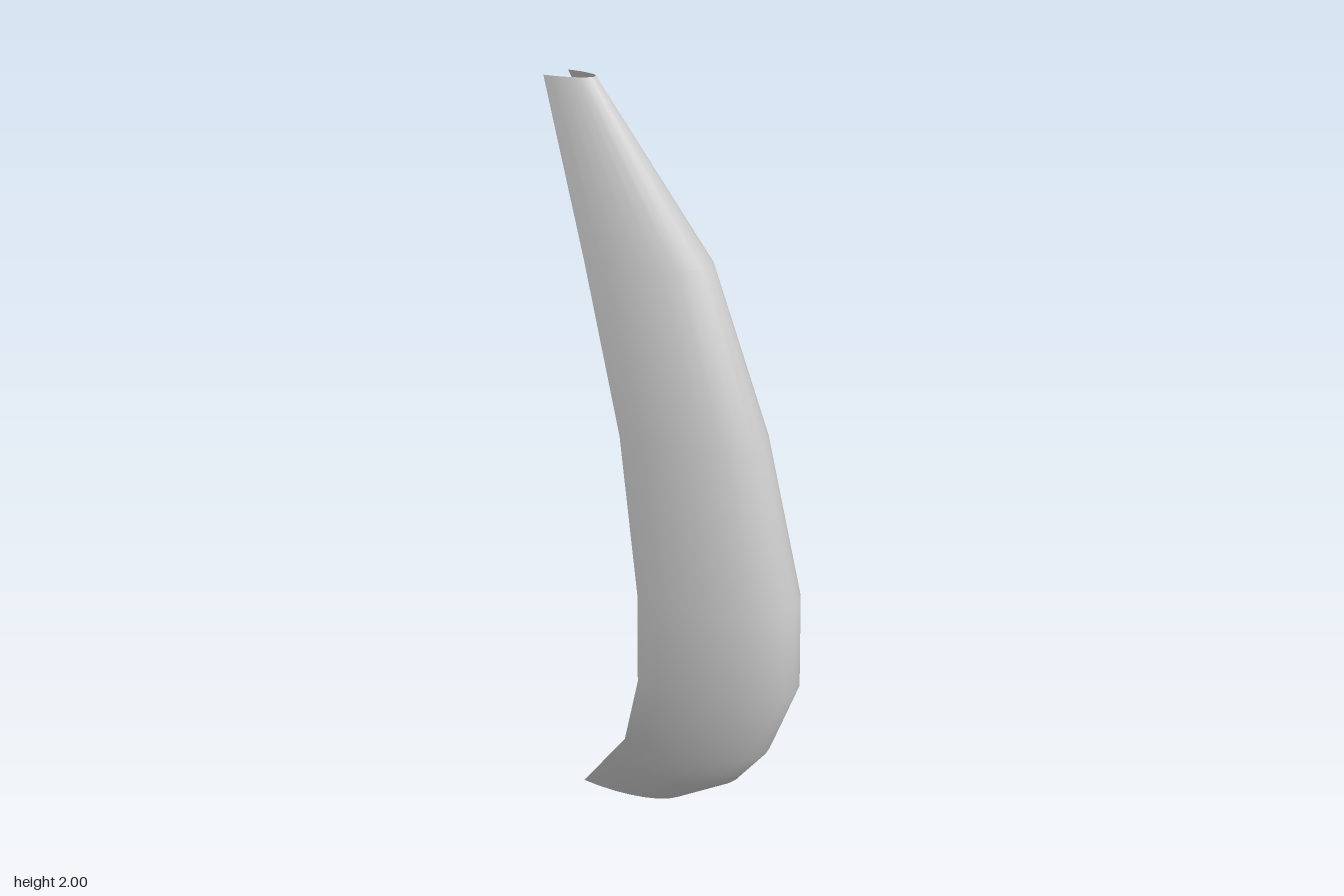
import * as THREE from 'three';

// Cross-sections from bottom to top: height, half width, z of the open back edge, z of the front ridge
const SECTIONS = [
  [0, 0.108, -0.257, 0.018],
  [0.12, 0.14, -0.16, 0.198],
  [0.24, 0.163, -0.064, 0.293],
  [0.46, 0.192, 0.005, 0.377],
  [0.71, 0.185, 0.002, 0.373],
  [1.14, 0.167, -0.063, 0.263],
  [1.57, 0.13, -0.195, 0.096],
  [2, 0.049, -0.377, -0.255],
];
const SEGMENTS = 16;

// Half-elliptical arcs joined into an open, curved shell
function shellGeometry() {
  const positions = [];
  const indices = [];
  const row = SEGMENTS + 1;
  SECTIONS.forEach(([y, halfWidth, back, front], i) => {
    for (let j = 0; j <= SEGMENTS; j++) {
      const a = (j / SEGMENTS - 0.5) * Math.PI;
      positions.push(halfWidth * Math.sin(a), y, back + (front - back) * Math.cos(a));
      if (i > 0 && j > 0) {
        const d = i * row + j, c = d - 1, b = d - row, e = b - 1;
        indices.push(e, b, d, e, d, c);
      }
    }
  });
  const geometry = new THREE.BufferGeometry();
  geometry.setAttribute('position', new THREE.Float32BufferAttribute(positions, 3));
  geometry.setIndex(indices);
  geometry.computeVertexNormals();
  return geometry;
}

export function createModel() {
  const group = new THREE.Group();
  group.name = 'curvedGuard';
  const material = new THREE.MeshStandardMaterial({ color: 0xcccccc, side: THREE.DoubleSide });
  const shell = new THREE.Mesh(shellGeometry(), material);
  shell.name = 'shell';
  group.add(shell);
  return group;
}
